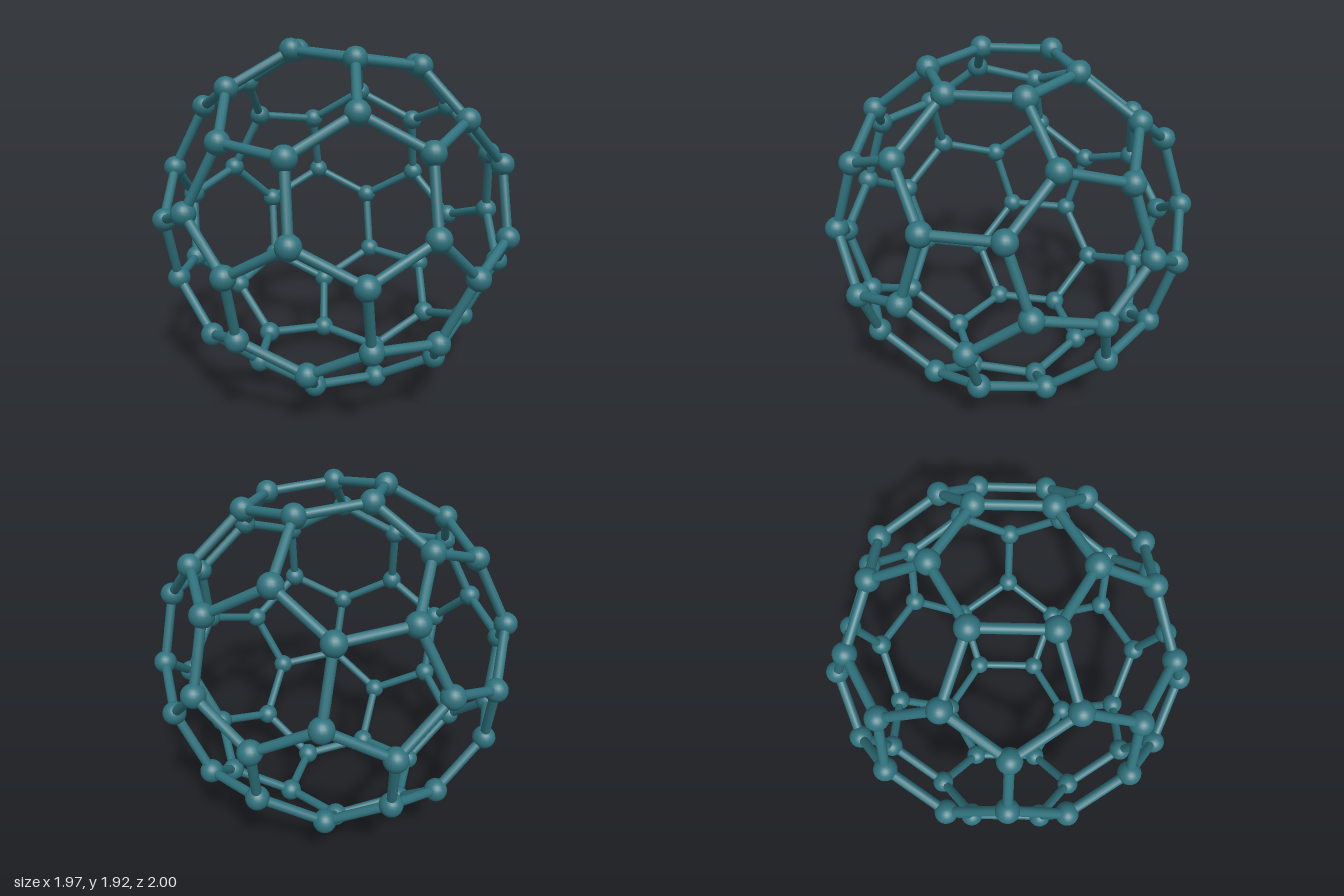
import * as THREE from 'three';

const RADIUS = 0.942;      // centre of the cage to the centre of each ball
const BALL = 0.061;
const ROD = 0.025;
const CENTRE_Y = 0.97;

// Twelve corners of an icosahedron with one corner on +y
function icosahedronCorners() {
  const corners = [new THREE.Vector3(0, 1, 0), new THREE.Vector3(0, -1, 0)];
  const h = 1 / Math.sqrt(5), r = 2 / Math.sqrt(5);
  for (let i = 0; i < 5; i++) {
    const a = (i * 2 * Math.PI) / 5;
    const p = new THREE.Vector3(r * Math.sin(a), h, r * Math.cos(a));
    corners.push(p, p.clone().negate());
  }
  return corners;
}

// Cut each edge at its thirds to get the sixty joints of the cage
function cageJoints() {
  const corners = icosahedronCorners();
  const joints = [];
  for (const a of corners) {
    for (const b of corners) {
      if (a !== b && a.distanceTo(b) < 1.1) {
        joints.push(a.clone().lerp(b, 1 / 3).setLength(RADIUS));
      }
    }
  }
  return joints;
}

export function createModel() {
  const model = new THREE.Group();
  model.name = 'sphericalCage';
  const material = new THREE.MeshStandardMaterial({ color: 0x2f727d });

  // Tilt of the cage: y goes to the front pentagon's axis, z to its upper corner
  const axis = new THREE.Vector3(-0.0275, -0.2628, 0.9645).normalize();
  const side = axis.clone().cross(new THREE.Vector3(0.0894, 0.96, 0.264)).normalize();
  const up = side.clone().cross(axis);
  const tilt = new THREE.Matrix4().makeBasis(side, axis, up);
  const joints = cageJoints().map((p) => p.applyMatrix4(tilt));

  // Balls at the joints
  const balls = new THREE.Group();
  balls.name = 'balls';
  const ballGeometry = new THREE.SphereGeometry(BALL, 20, 14);
  for (const p of joints) {
    const ball = new THREE.Mesh(ballGeometry, material);
    ball.name = 'ball';
    ball.position.copy(p);
    balls.add(ball);
  }

  // Rods between neighbouring joints
  const rods = new THREE.Group();
  rods.name = 'rods';
  const edge = RADIUS / 2.478;
  const rodGeometry = new THREE.CylinderGeometry(ROD, ROD, edge, 12, 1, true);
  const yAxis = new THREE.Vector3(0, 1, 0);
  joints.forEach((a, i) => {
    for (const b of joints.slice(i + 1)) {
      if (a.distanceTo(b) > edge * 1.1) continue;
      const rod = new THREE.Mesh(rodGeometry, material);
      rod.name = 'rod';
      rod.position.copy(a).add(b).multiplyScalar(0.5);
      rod.quaternion.setFromUnitVectors(yAxis, b.clone().sub(a).normalize());
      rods.add(rod);
    }
  });

  balls.position.y = rods.position.y = CENTRE_Y;
  model.add(balls, rods);
  return model;
}
